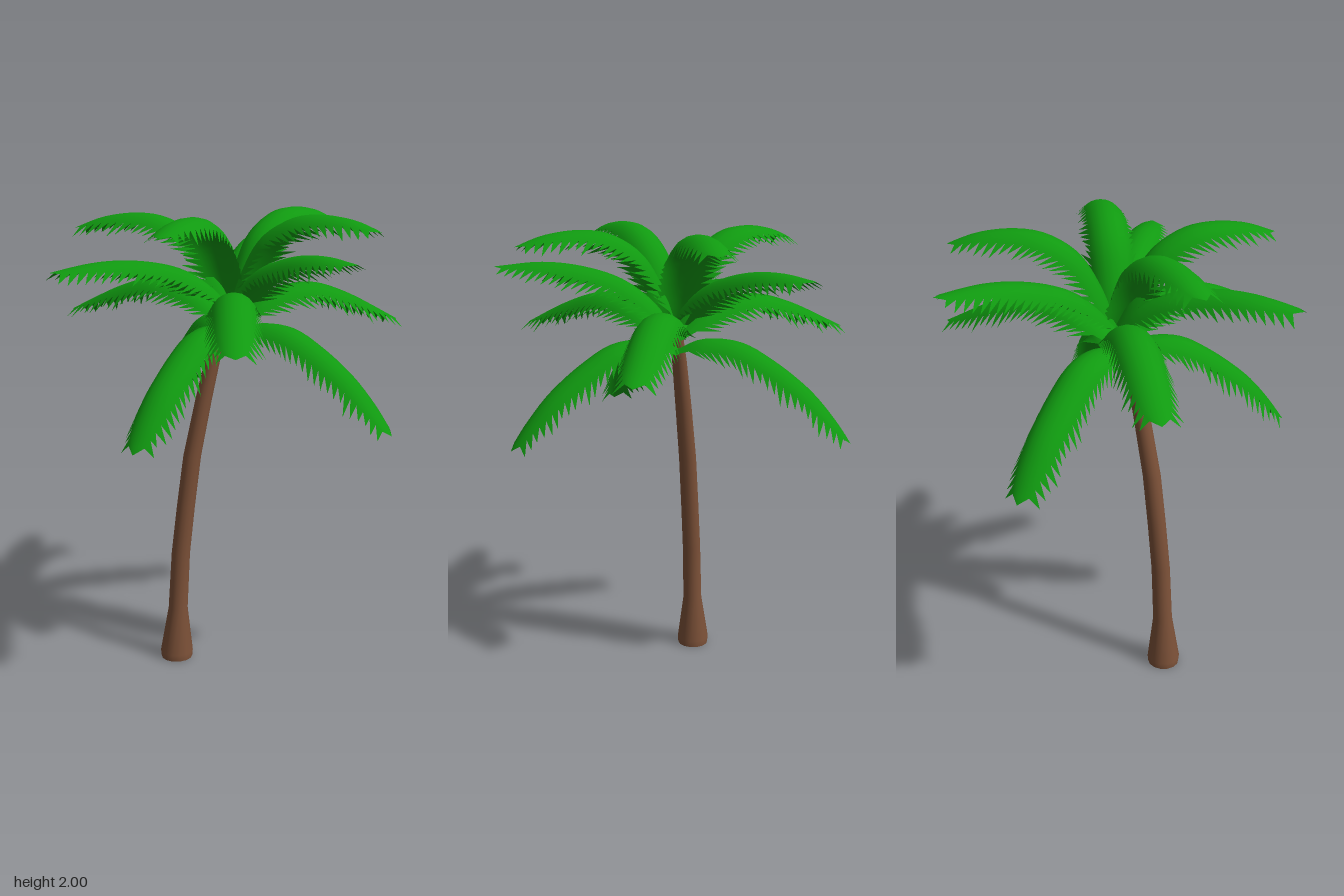
import * as THREE from 'three';

const leafGreen = new THREE.MeshStandardMaterial({ color: 0x109a10, side: THREE.DoubleSide });
leafGreen.name = 'leafGreen';
const barkBrown = new THREE.MeshStandardMaterial({ color: 0x7c5138 });
barkBrown.name = 'barkBrown';

const CROWN = { x: -0.02, z: -0.03 };

// Small seeded generator for uneven leaflets
let seed = 7;
const rand = () => (seed = (seed * 16807) % 2147483647) / 2147483647;

// Linear lookup in a list of [t, value]
function lookup(table, t) {
  for (let i = 1; i < table.length; i++) {
    const [t0, v0] = table[i - 1], [t1, v1] = table[i];
    if (t <= t1) return v0 + (v1 - v0) * (t - t0) / (t1 - t0);
  }
  return table[table.length - 1][1];
}

// Midrib profiles as [distance from crown, height], and the tips [x, z, height change at tip]
const tiers = [
  { name: 'topFrond',
    rib: [[0, 1.6], [0.06, 1.76], [0.15, 1.9], [0.28, 1.98], [0.4, 2.0], [0.55, 1.985], [0.68, 1.94]],
    tips: [[0.53, -0.43, 0], [0.46, 0.46, 0], [-0.43, 0.52, 0], [-0.65, -0.34, -0.02]] },
  { name: 'upperFrond',
    rib: [[0, 1.58], [0.1, 1.69], [0.23, 1.77], [0.4, 1.81], [0.58, 1.815], [0.79, 1.78]],
    tips: [[0.31, -0.73, 0.06], [0.29, 0.66, 0.06], [-0.8, 0.12, 0]] },
  { name: 'lowerFrond',
    rib: [[0, 1.54], [0.12, 1.63], [0.25, 1.68], [0.38, 1.685], [0.55, 1.63], [0.82, 1.49]],
    tips: [[0.8, -0.2, 0], [-0.2, 0.78, 0.04], [-0.65, -0.6, 0.04]] },
  { name: 'droopingFrond',
    rib: [[0, 1.48], [0.12, 1.535], [0.28, 1.53], [0.42, 1.46], [0.58, 1.34], [0.68, 1.23], [0.76, 1.12]],
    tips: [[-0.12, -0.79, 0], [0.53, 0.47, 0], [-0.54, 0.5, 0]] },
];

const WIDTH = [[0, 0.5], [0.15, 0.9], [0.3, 1], [0.6, 0.95], [0.8, 0.75], [0.92, 0.5], [1, 0.25]];

// Arched blade with a sawtooth row of leaflets down each edge
function frondGeometry(rib, [tipX, tipZ, lift]) {
  const dx = tipX - CROWN.x, dz = tipZ - CROWN.z;
  const reach = Math.hypot(dx, dz), c = dx / reach, s = dz / reach;
  const end = rib[rib.length - 1][0];
  const curve = new THREE.CatmullRomCurve3(rib.map(([r, y]) => new THREE.Vector3(
    CROWN.x + c * r * reach / end, y + lift * r / end, CROWN.z + s * r * reach / end)));
  const side = new THREE.Vector3(s, 0, -c);
  const STATIONS = 24, COLS = 6, R = 0.095;
  const pos = [], index = [], frames = [];
  const add = (p) => pos.push(p.x, p.y, p.z) / 3 - 1;

  for (let i = 0; i <= STATIONS; i++) {
    const t = 0.96 * i / STATIONS;
    const p = curve.getPointAt(t), tan = curve.getTangentAt(t);
    const up = new THREE.Vector3().crossVectors(tan, side).normalize();
    const w = lookup(WIDTH, t);
    frames.push({ t, tan, up, w });
    for (let j = 0; j <= COLS; j++) {
      const a = 1.08 * w * (2 * j / COLS - 1);
      add(p.clone().addScaledVector(side, R * Math.sin(a)).addScaledVector(up, -R * (1 - Math.cos(a))));
    }
  }
  const id = (i, j) => i * (COLS + 1) + j;
  for (let i = 0; i < STATIONS; i++) {
    for (let j = 0; j < COLS; j++) {
      const a = id(i, j), b = id(i + 1, j), d = id(i, j + 1), e = id(i + 1, j + 1);
      index.push(a, b, d, b, e, d);
    }
  }
  // Pointed end
  const tip = add(curve.getPointAt(1));
  for (let j = 0; j < COLS; j++) index.push(id(STATIONS, j), tip, id(STATIONS, j + 1));

  // Leaflets
  for (let i = 2; i < STATIONS; i++) {
    const { t, tan, up, w } = frames[i];
    const a = 1.08 * w;
    const len = (0.05 + 0.035 * rand()) * (t > 0.8 ? 0.85 : 1);
    for (const m of [-1, 1]) {
      const j = m < 0 ? 0 : COLS;
      const length = len * (0.85 + 0.3 * rand());
      const p = new THREE.Vector3().fromArray(pos, 3 * id(i + 1, j))
        .addScaledVector(side, m * Math.cos(a) * 0.85 * length)
        .addScaledVector(up, -Math.sin(a) * 0.85 * length)
        .addScaledVector(tan, 0.45 * length);
      const k = add(p);
      if (m > 0) index.push(id(i, j), id(i + 1, j), k);
      else index.push(id(i + 1, j), id(i, j), k);
    }
  }
  const geo = new THREE.BufferGeometry();
  geo.setAttribute('position', new THREE.Float32BufferAttribute(pos, 3));
  geo.setIndex(index);
  geo.computeVertexNormals();
  return geo;
}

// Leaning trunk: a cylinder whose rings follow [height, x, radius]
function trunkGeometry() {
  const rings = [[0, -0.287, 0.07], [0.03, -0.287, 0.073], [0.24, -0.278, 0.043], [0.5, -0.262, 0.041],
    [0.72, -0.236, 0.04], [0.95, -0.205, 0.039], [1.2, -0.152, 0.036], [1.42, -0.1, 0.032], [1.58, -0.05, 0.028]];
  const n = rings.length - 1;
  const geo = new THREE.CylinderGeometry(1, 1, n, 14, n);
  const p = geo.attributes.position;
  for (let i = 0; i < p.count; i++) {
    const [y, x, r] = rings[Math.round(p.getY(i) + n / 2)];
    p.setXYZ(i, x + r * p.getX(i), y, -0.022 + r * p.getZ(i));
  }
  // Smooth sides, including across the seam
  geo.computeVertexNormals();
  const nor = geo.attributes.normal;
  for (let k = 0; k <= n; k++) {
    const a = k * 15, b = a + 14;
    const v = new THREE.Vector3().fromBufferAttribute(nor, a)
      .add(new THREE.Vector3().fromBufferAttribute(nor, b)).normalize();
    nor.setXYZ(a, v.x, v.y, v.z);
    nor.setXYZ(b, v.x, v.y, v.z);
  }
  return geo;
}

export function createModel() {
  seed = 7;
  const model = new THREE.Group();
  model.name = 'palmTree';

  const trunk = new THREE.Mesh(trunkGeometry(), barkBrown);
  trunk.name = 'trunk';
  model.add(trunk);

  const crown = new THREE.Group();
  crown.name = 'crown';
  for (const { name, rib, tips } of tiers) {
    tips.forEach((tip, i) => {
      const frond = new THREE.Mesh(frondGeometry(rib, tip), leafGreen);
      frond.name = name + (i + 1);
      crown.add(frond);
    });
  }
  model.add(crown);
  return model;
}
